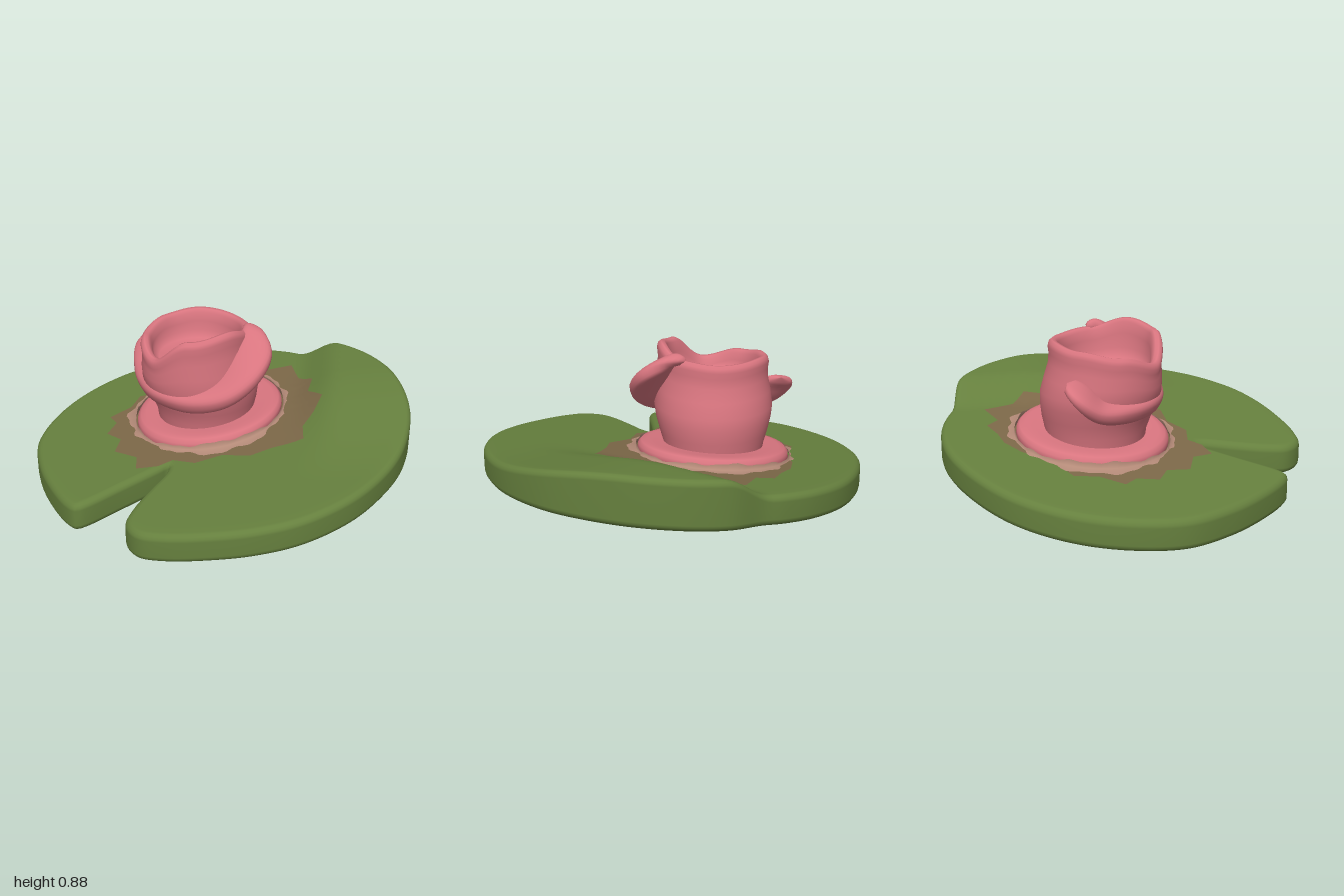
import * as THREE from 'three';

const V = (x, y, z) => new THREE.Vector3(x, y, z);
const mat = (name, color) => Object.assign(new THREE.MeshStandardMaterial({ color }), { name });

// Smooth skin over a list of closed loops with equal point counts
function loft(loops) {
  const n = loops[0].length, pos = [], index = [];
  loops.forEach(l => l.forEach(p => pos.push(p.x, p.y, p.z)));
  for (let i = 0; i < loops.length - 1; i++) {
    for (let j = 0; j < n; j++) {
      const a = i * n + j, b = i * n + (j + 1) % n;
      index.push(a, b, b + n, a, b + n, a + n);
    }
  }
  const g = new THREE.BufferGeometry();
  g.setAttribute('position', new THREE.Float32BufferAttribute(pos, 3));
  g.setIndex(index);
  g.computeVertexNormals();
  return g;
}

// Closed loop around the upright axis; a = 0 is the front, fn gives the point
const ring = (n, fn) => Array.from({ length: n }, (_, j) => fn(j / n * Math.PI * 2));

// Tilted pad surfaces, with a swelling on the back left
const tilt = (x, z) => 0.14 * x - 0.03 * z;
const bottomY = (x, z) => 0.145 + tilt(x, z);
const topY = (x, z) => 0.30 + tilt(x, z) +
  0.1 * THREE.MathUtils.smoothstep(x, 0.38, 0.62) * THREE.MathUtils.smoothstep(-z, -0.55, 0.4);

const OUTLINE = [
  [-.22, .31], [-.25, .34], [-.42, .49], [-.59, .635], [-.635, .65], [-.69, .61], [-.82, .43], [-.93, .22],
  [-1, -.02], [-.97, -.27], [-.86, -.52], [-.66, -.74], [-.4, -.88], [-.1, -.955], [.15, -.94], [.33, -.88],
  [.43, -.825], [.6, -.76], [.76, -.62], [.9, -.4], [.98, -.15], [1, .05], [.96, .3], [.87, .5], [.72, .7],
  [.5, .86], [.28, .93], [.05, .95], [-.15, .94], [-.28, .9], [-.35, .8], [-.34, .69], [-.28, .52], [-.22, .37]];

const STAIN = [
  [-.2, -.6], [-.08, -.66], [.03, -.67], [.14, -.7], [.2, -.63], [.35, -.67], [.4, -.5], [.48, -.42], [.46, -.3],
  [.54, -.18], [.5, -.05], [.45, .05], [.46, .17], [.3, .23], [.2, .29], [.05, .27], [-.08, .33], [-.2, .29],
  [-.27, .34], [-.38, .35], [-.4, .24], [-.53, .17], [-.52, .05], [-.61, -.02], [-.58, -.13], [-.63, -.2],
  [-.53, -.3], [-.5, -.42], [-.35, -.47]];

function padGeometry() {
  const curve = new THREE.CatmullRomCurve3(OUTLINE.map(([x, z]) => V(x, 0, z)), true);
  const N = 240, edge = curve.getSpacedPoints(N).slice(0, N);
  const inset = d => edge.map((p, j) => {
    const t = edge[(j + 1) % N].clone().sub(edge[(j + N - 1) % N]).normalize();
    return V(p.x - t.z * d, 0, p.z + t.x * d);
  });
  const loops = [], R = 0.035, core = inset(R);
  const lay = (pts, s, heightAt, dy) =>
    loops.push(pts.map(p => V(p.x * s, heightAt(p.x * s, p.z * s) + dy, p.z * s)));
  for (let i = 0; i <= 20; i++) lay(core, i / 20, topY, 0);
  const arc = [0.4, 0.8, 1.2, Math.PI / 2];
  arc.forEach(a => lay(inset(R * (1 - Math.sin(a))), 1, topY, -R * (1 - Math.cos(a))));
  arc.slice().reverse().forEach(a => lay(inset(R * (1 - Math.sin(a))), 1, bottomY, R * (1 - Math.cos(a))));
  for (let i = 4; i >= 0; i--) lay(core, i / 4, bottomY, 0);
  return loft(loops);
}

// Ragged plate lying on the pad
function stainGeometry() {
  const cx = -0.05, cz = -0.17, loops = [];
  const pts = STAIN.flatMap(([x, z], i) => {
    const [u, w] = STAIN[(i + 1) % STAIN.length];
    return [0, 0.25, 0.5, 0.75].map(k => [x + (u - x) * k, z + (w - z) * k]);
  });
  for (let i = 0; i <= 12; i++) {
    loops.push(pts.map(([px, pz]) => {
      const x = cx + (px - cx) * i / 12, z = cz + (pz - cz) * i / 12;
      return V(x, topY(x, z) + 0.006, z);
    }));
  }
  return loft(loops);
}

// Rings around the flower foot, sheared to follow the pad
function footLoops(rows, rag = () => [0, 0]) {
  return rows.map(([r, y], i) => ring(96, a => {
    const [dr, dy] = rag(a, i);
    const x = -0.07 + (r + dr) * Math.sin(a), z = -0.19 + (r + dr) * Math.cos(a);
    return V(x, 0.30 + tilt(x, z) + y + dy, z);
  }));
}
const footRows = [[.385, -.02], [.395, .015], [.392, .04], [.375, .058], [.345, .064], [.3, .06], [.2, .055]];
const frayRows = [[.41, .01], [.405, .014], [.402, .022]];
const fray = (a, i) => {
  const wave = Math.sin(3 * a + 0.6) + 0.5 * Math.sin(11 * a) + 0.35 * Math.sin(23 * a + 1);
  if (i === 0) return [Math.max(0, 0.022 + 0.022 * wave), 0];
  return i === 2 ? [0, Math.max(-0.005, 0.012 + 0.01 * wave)] : [0, 0];
};

// Cup-shaped bud with a wavy lip; heights every 45 degrees from the front
const LIP = [.86, .89, .84, .825, .83, .81, .78, .73];
function lip(a) {
  const t = a / (Math.PI / 4), i = Math.floor(t) % 8, k = (1 - Math.cos((t % 1) * Math.PI)) / 2;
  return LIP[i] + (LIP[(i + 1) % 8] - LIP[i]) * k;
}
// radius, height, share of the lip wave
const budRows = [
  [.25, .26, 0], [.262, .36, 0], [.282, .43, 0], [.3, .5, 0], [.309, .56, .1], [.3, .63, .4], [.287, .69, .7],
  [.286, .735, .9], [.29, .765, 1], [.285, .787, 1], [.27, .8, 1], [.252, .797, 1], [.238, .78, 1],
  [.228, .74, .8], [.224, .7, .4], [.2, .67, .1], [.1, .665, 0], [0, .665, 0]];
function budGeometry() {
  return loft(budRows.map(([r, y, w]) => ring(96, a => {
    const k = THREE.MathUtils.smoothstep(y, 0.35, 0.75);
    return V(-0.09 - 0.045 * k + r * Math.sin(a), y + w * (lip(a) - 0.8), -0.18 + 0.04 * k + r * Math.cos(a));
  })));
}

// Petal swept round the bud: a rounded slab from inside the wall to an outer edge
function petalGeometry() {
  const rim = new THREE.CatmullRomCurve3([
    V(-.49, .65, -.53), V(-.55, .59, -.44), V(-.52, .51, -.3), V(-.45, .485, -.12), V(-.33, .49, .06),
    V(-.12, .5, .17), V(.08, .56, .195), V(.23, .66, .14), V(.31, .76, .02), V(.27, .81, -.08), V(.17, .81, -.16)]);
  const loops = [], M = 60;
  for (let i = 0; i <= M; i++) {
    const s = i / M, q = rim.getPointAt(s), t = rim.getTangentAt(s);
    const dir = V(q.x + 0.12, 0, q.z + 0.15).normalize();
    const p = V(-0.12 + dir.x * 0.2, q.y + 0.05, -0.15 + dir.z * 0.2);
    const u = q.clone().sub(p).multiplyScalar(0.5), c = p.clone().add(u);
    const k = Math.pow(Math.max(0, Math.sin(Math.PI * s)), 0.35);
    const n = t.clone().cross(u).normalize().multiplyScalar(0.058 * k);
    u.multiplyScalar(k);
    const soft = v => Math.sign(v) * Math.pow(Math.abs(v), 0.75);
    loops.push(ring(24, a => c.clone().addScaledVector(u, soft(Math.cos(a))).addScaledVector(n, soft(Math.sin(a)))));
  }
  return loft(loops);
}

export function createModel() {
  const green = mat('leaf green', 0x66803e);
  const pink = mat('petal pink', 0xd8757f);
  const brown = mat('stain brown', 0x7c6848);
  const tan = mat('faded pink', 0xb48a78);
  tan.side = THREE.DoubleSide;

  const model = new THREE.Group();
  model.name = 'waterLily';
  const add = (name, geometry, material) => {
    const mesh = new THREE.Mesh(geometry, material);
    mesh.name = name;
    model.add(mesh);
  };
  add('lilyPad', padGeometry(), green);
  add('padStain', stainGeometry(), brown);
  add('flowerFoot', loft(footLoops(footRows)), pink);
  add('footFray', loft(footLoops(frayRows, fray)), tan);
  add('flowerBud', budGeometry(), pink);
  add('wrappingPetal', petalGeometry(), pink);
  return model;
}
